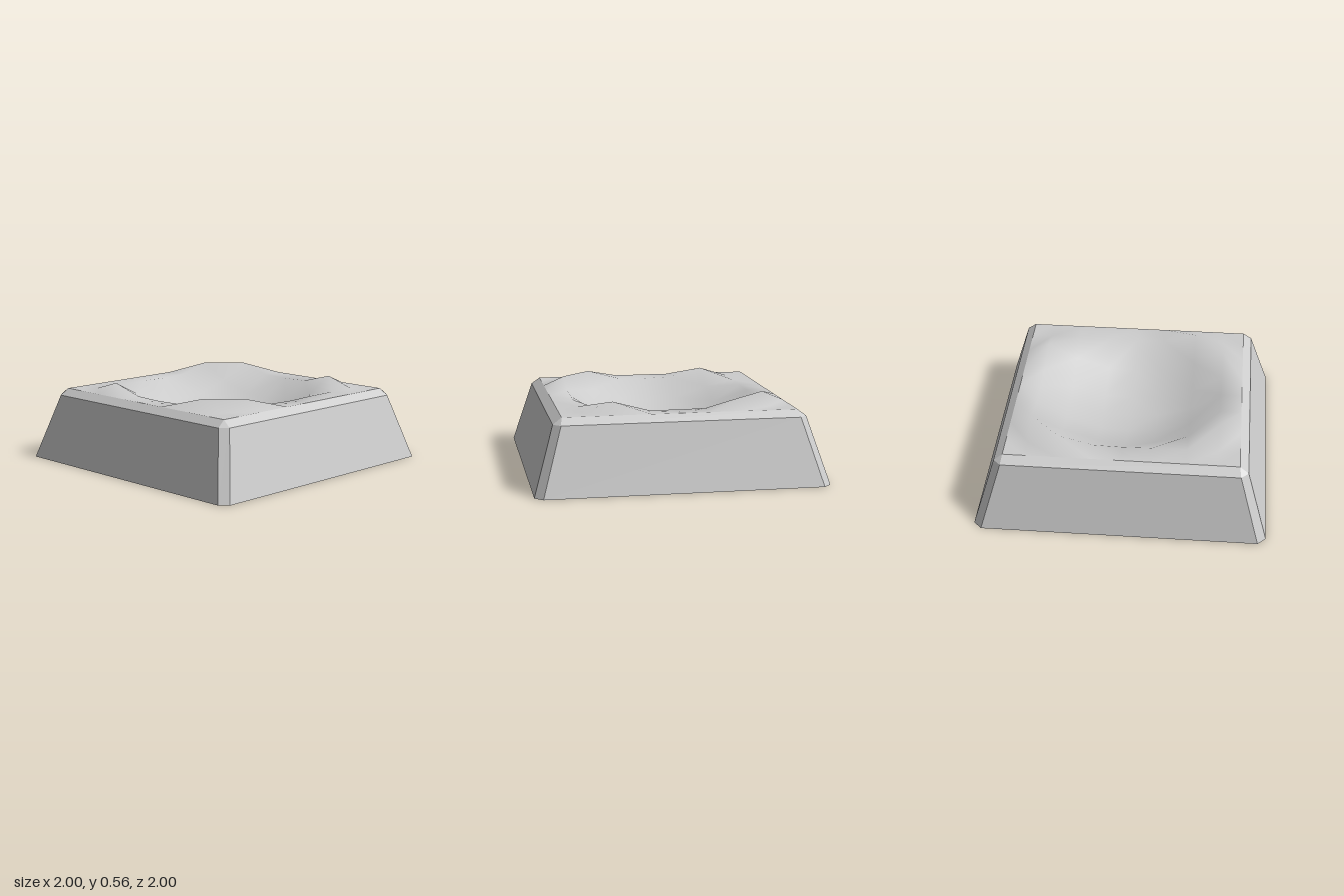
import * as THREE from 'three';

const grey = (flat) => new THREE.MeshStandardMaterial({
  color: 0xcccccc, side: THREE.DoubleSide, flatShading: flat,
});

function makeMesh(name, positions, index, flat) {
  const geometry = new THREE.BufferGeometry();
  geometry.setAttribute('position', new THREE.Float32BufferAttribute(positions, 3));
  geometry.setIndex(index);
  geometry.computeVertexNormals();
  const mesh = new THREE.Mesh(geometry, grey(flat));
  mesh.name = name;
  return mesh;
}

// Square loop with cut corners: a = half width, b = where the cut begins
const loop = (a, b, y) => [
  [a, b], [b, a], [-b, a], [-a, b], [-a, -b], [-b, -a], [b, -a], [a, -b],
].map(([x, z]) => [x, y, z]);

// Open sloping sides between two loops
function makeBand(name, lower, upper) {
  const index = [];
  for (let i = 0; i < 8; i++) {
    const j = (i + 1) % 8;
    index.push(i, i + 8, j, j, i + 8, j + 8);
  }
  return makeMesh(name, [...lower, ...upper].flat(), index, true);
}

// Sunken top: a steep-walled bowl with raised mounds towards the corners
function makeBasin() {
  const steps = [0, 0.2, 0.44, 0.65, 0.8];
  const heights = [
    [0.27, 0.285, 0.365, 0.495, 0.5],
    [0.285, 0.30, 0.38, 0.50, 0.5],
    [0.365, 0.38, 0.455, 0.565, 0.5],
    [0.495, 0.50, 0.565, 0.50, 0.5],
    [0.5, 0.5, 0.5, 0.5, 0.5],
  ];
  const positions = [], index = [];
  for (let r = -4; r <= 4; r++) {
    for (let c = -4; c <= 4; c++) {
      const i = Math.abs(r), j = Math.abs(c);
      // two opposite mounds have a single peak, the other two a ridge
      const missingPeak = i === 3 && j === 2 && r * c > 0;
      const y = missingPeak ? 0.5 : heights[i][j];
      positions.push(Math.sign(c) * steps[j], y, Math.sign(r) * steps[i]);
    }
  }
  for (let r = 0; r < 8; r++) {
    for (let c = 0; c < 8; c++) {
      const a = r * 9 + c, b = a + 1, d = a + 9, e = a + 10;
      // diagonals run around the bowl
      if ((r < 4) === (c < 4)) index.push(a, d, b, b, d, e);
      else index.push(a, d, e, a, e, b);
    }
  }
  return makeMesh('basin', positions, index, false);
}

export function createModel() {
  const model = new THREE.Group();
  model.name = 'craterTile';
  const foot = loop(1, 0.945, 0);
  const shoulder = loop(0.86, 0.81, 0.455);
  const rim = loop(0.8, 0.8, 0.5);
  model.add(
    makeBand('walls', foot, shoulder),
    makeBand('bevel', shoulder, rim),
    makeBasin(),
  );
  return model;
}
